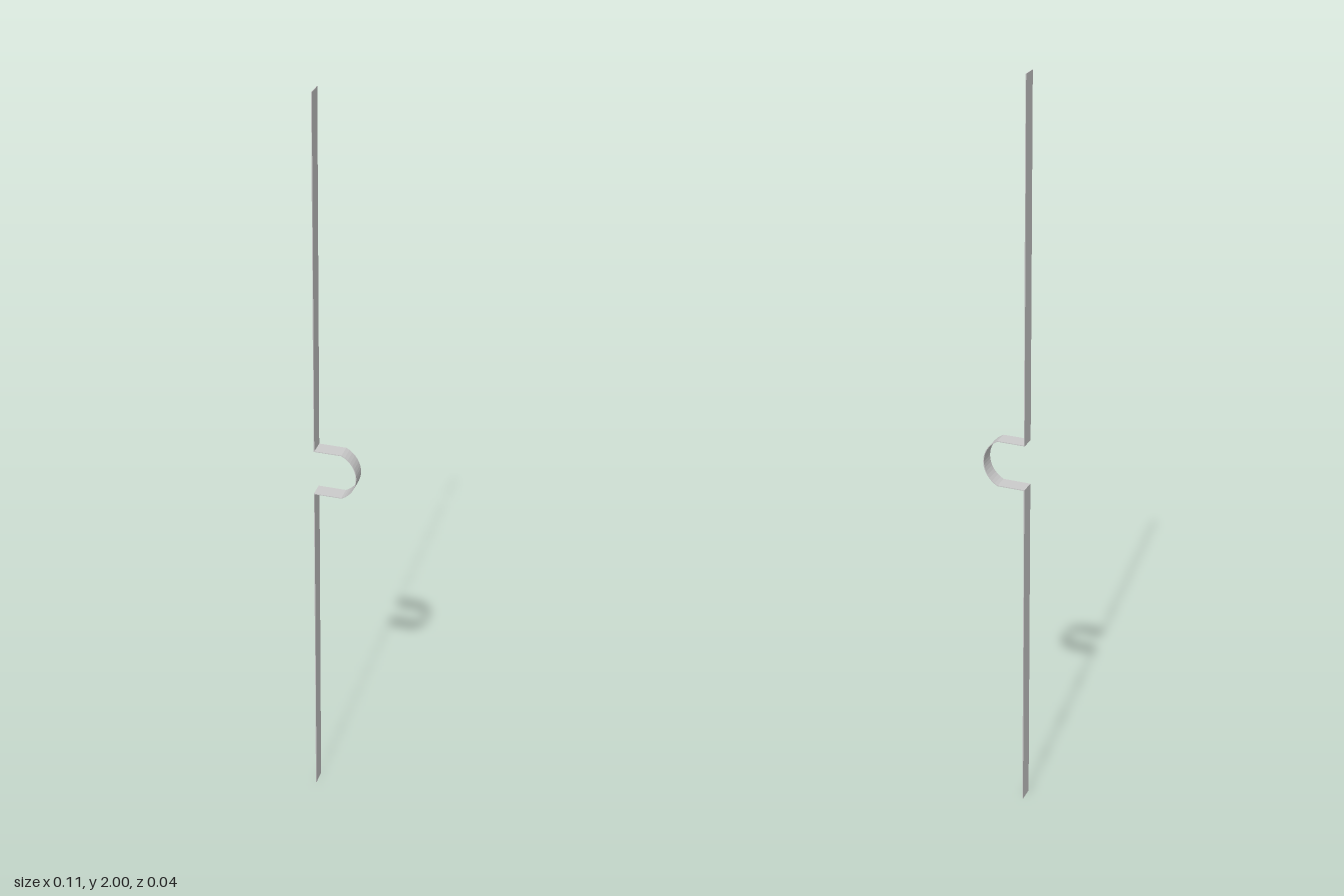
import * as THREE from 'three';

const WIDTH = 0.041;    // strip width along z
const HALF_THICK = 0.001; // half the sheet thickness
const WALL_X = -0.055;  // middle of the sheet in the straight runs
const FLAT_END = 0.017; // where the shelves meet the arc
const TIP_X = 0.055;    // outermost point of the arc
const HALF = 0.062;     // half the height of the loop
const MID_Y = 1;
const ARC_STEPS = 16;

// Arc radius from its chord and depth
const DEPTH = TIP_X - FLAT_END;
const RADIUS = (HALF * HALF + DEPTH * DEPTH) / (2 * DEPTH);

// One face of the sheet from top to bottom, offset from its middle
function facePoints(offset) {
  const wall = WALL_X + offset;
  const shelf = HALF + offset;
  const radius = RADIUS + offset;
  const start = Math.asin(shelf / radius);
  const points = [new THREE.Vector2(wall, 2 * MID_Y), new THREE.Vector2(wall, MID_Y + shelf)];
  for (let i = 0; i <= ARC_STEPS; i++) {
    const a = start * (1 - (2 * i) / ARC_STEPS);
    points.push(new THREE.Vector2(
      TIP_X - RADIUS + radius * Math.cos(a),
      MID_Y + radius * Math.sin(a)
    ));
  }
  points.push(new THREE.Vector2(wall, MID_Y - shelf), new THREE.Vector2(wall, 0));
  return points;
}

export function createModel() {
  const group = new THREE.Group();

  // Thin sheet: straight runs, two shelves and a curved band, as one bent profile
  const profile = new THREE.Shape([
    ...facePoints(HALF_THICK),
    ...facePoints(-HALF_THICK).reverse(),
  ]);
  const geometry = new THREE.ExtrudeGeometry(profile, { depth: WIDTH, bevelEnabled: false });
  geometry.translate(0, 0, -WIDTH / 2);

  const strip = new THREE.Mesh(
    geometry,
    new THREE.MeshStandardMaterial({ color: 0xcccccc, flatShading: true })
  );
  strip.name = 'bentStrip';
  group.add(strip);

  return group;
}
